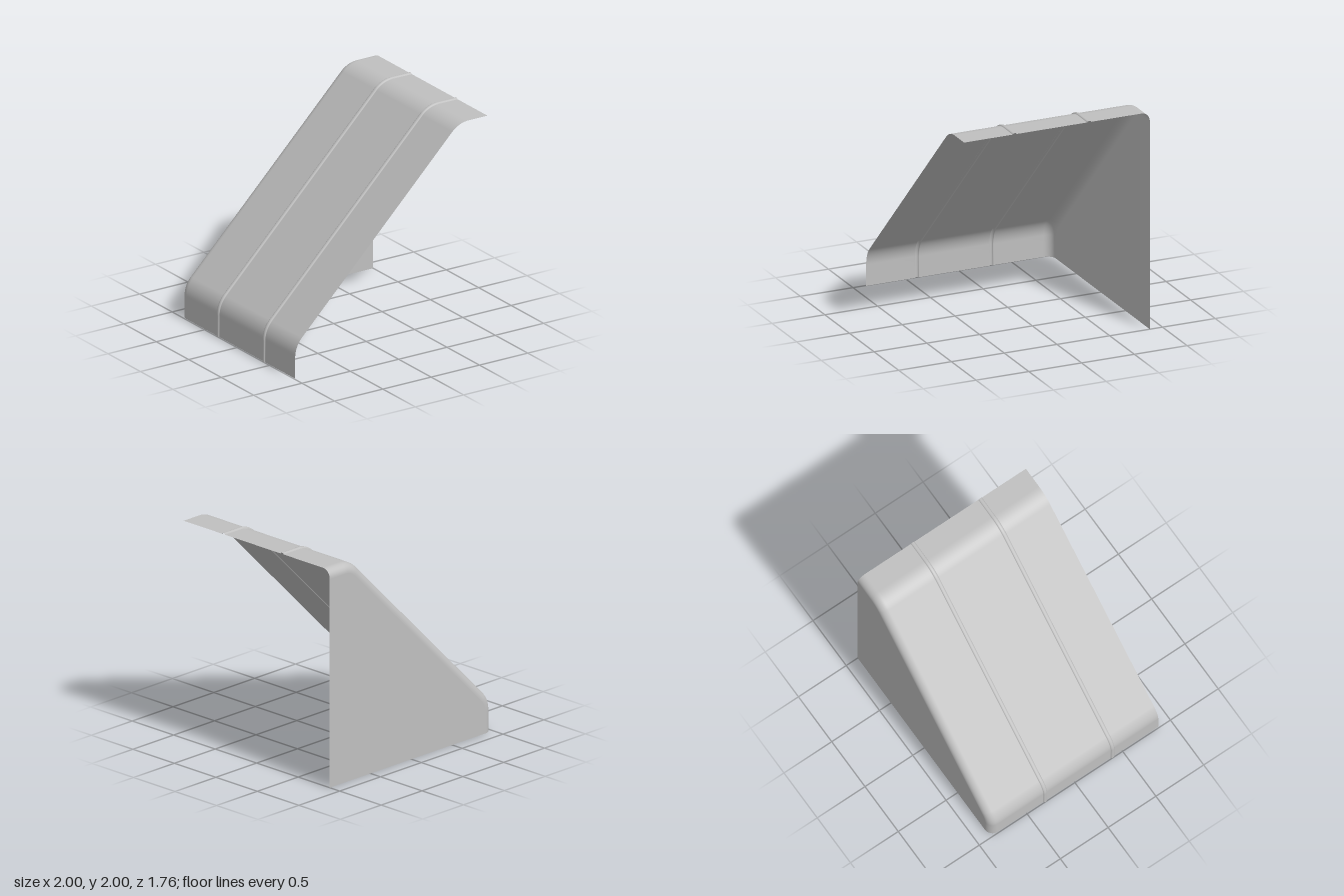
import * as THREE from 'three';

const R = 0.24;                           // bend radius of the sloped sheet
const T = R * Math.tan(Math.PI / 8);      // tangent length of a 45 degree bend
const EDGE = 0.08;                        // rounding towards the back panel
const BACK = -0.88, FRONT = 0.88;

// Side outline (wall, bend, slope, bend, top), moved inward by d
function outline(d) {
  const pts = [[-0.99 + d, 0]];
  const bend = (cx, cy, from) => {
    for (let k = 0; k <= 12; k++) {
      const a = from - (k / 12) * Math.PI / 4;
      pts.push([cx + (R - d) * Math.cos(a), cy + (R - d) * Math.sin(a)]);
    }
  };
  bend(-0.99 + R, 0.295 - T, Math.PI);
  bend(0.705 + T, 1.99 - R, Math.PI * 0.75);
  pts.push([1, 1.99 - d]);
  return pts;
}

// Depth section as [z, inward offset], front to back
function depthSection() {
  const rows = [[FRONT, 0]];
  for (const z of [0.4, -0.305]) {
    // raised rib across the sheet
    const w = 0.018, h = 0.011;
    rows.push([z + w + 0.004, 0]);
    for (let k = 0; k <= 10; k++) {
      const a = (k / 10) * Math.PI;
      rows.push([z + w * Math.cos(a), -h * Math.sin(a)]);
    }
    rows.push([z - w - 0.004, 0]);
  }
  // rounded rear edge
  rows.push([BACK + EDGE + 0.005, 0]);
  for (let k = 0; k <= 10; k++) {
    const a = (k / 10) * Math.PI / 2;
    rows.push([BACK + EDGE * (1 - Math.sin(a)), EDGE * (1 - Math.cos(a))]);
  }
  rows.push([BACK, EDGE + 0.004]);
  return rows;
}

function sheetGeometry() {
  const pos = [], index = [];
  const rows = depthSection();
  const n = outline(0).length;
  rows.forEach(([z, d], i) => {
    for (const [x, y] of outline(d)) pos.push(x, y, z);
    if (i === rows.length - 1) return;
    for (let j = 0; j < n - 1; j++) {
      const a = i * n + j, b = a + 1, c = a + n, e = c + 1;
      index.push(a, b, c, b, e, c);
    }
  });
  const g = new THREE.BufferGeometry();
  g.setAttribute('position', new THREE.Float32BufferAttribute(pos, 3));
  g.setIndex(index);
  g.computeVertexNormals();
  return g;
}

export function createModel() {
  const group = new THREE.Group();
  group.name = 'slopedCover';
  const grey = new THREE.MeshStandardMaterial({ color: 0xc0c0c0, side: THREE.DoubleSide });
  grey.name = 'light grey';

  // Bent sheet with ribs and rounded rear edge
  const sheet = new THREE.Mesh(sheetGeometry(), grey);
  sheet.name = 'ribbedSheet';
  group.add(sheet);

  // Flat panel closing the back
  const pts = outline(EDGE + 0.004).map(([x, y]) => new THREE.Vector2(x, y));
  pts.push(new THREE.Vector2(1, 0));
  const panel = new THREE.Mesh(new THREE.ShapeGeometry(new THREE.Shape(pts)), grey);
  panel.name = 'backPanel';
  panel.position.z = BACK;
  group.add(panel);

  return group;
}
